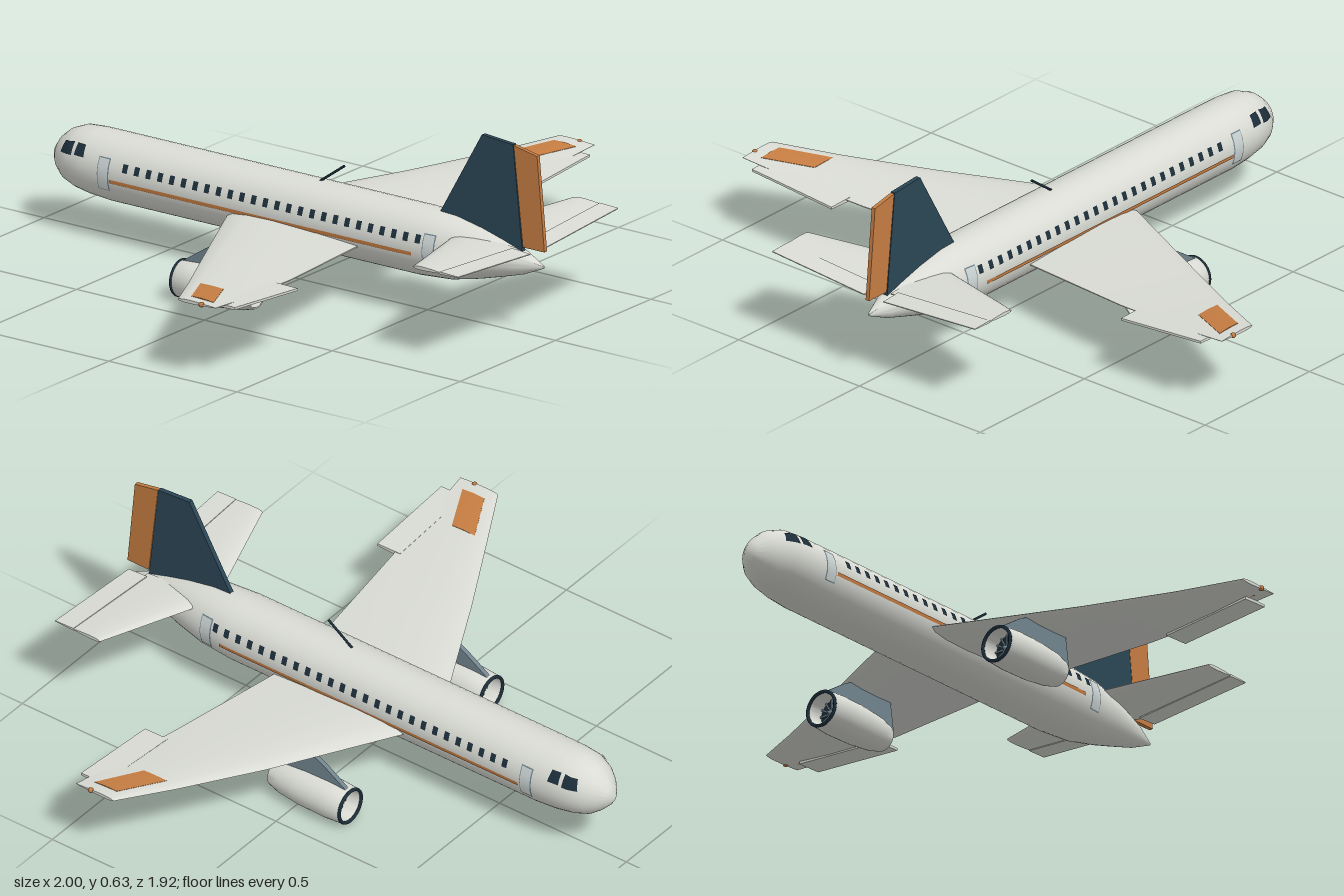
import * as THREE from 'three';
import { mergeVertices, toCreasedNormals } from 'three/addons/utils/BufferGeometryUtils.js';

const mat = (color) => new THREE.MeshStandardMaterial({ color });
const WHITE = mat(0xd9dbd4), NAVY = mat(0x2b4656), ORANGE = mat(0xc67d42), DARK = mat(0x1c2e3a);
const STEEL = mat(0x71858f), DOOR = mat(0xcbd3d3);
const V = (x, y, z) => new THREE.Vector3(x, y, z);

// Skin over closed rings of points, with end caps; winding is fixed by signed volume
function loft(rings, crease = 0.7) {
  const n = rings[0].length, pts = rings.flat(), idx = [];
  for (let i = 0; i < rings.length - 1; i++)
    for (let j = 0; j < n; j++) {
      const a = i * n + j, b = i * n + (j + 1) % n;
      idx.push(a, b, a + n, b, b + n, a + n);
    }
  const last = (rings.length - 1) * n;
  for (let j = 1; j < n - 1; j++) idx.push(0, j + 1, j, last, last + j, last + j + 1);
  let vol = 0;
  for (let i = 0; i < idx.length; i += 3)
    vol += pts[idx[i]].dot(V(0, 0, 0).crossVectors(pts[idx[i + 1]], pts[idx[i + 2]]));
  if (vol < 0) idx.reverse();
  const g = new THREE.BufferGeometry().setFromPoints(pts);
  g.setIndex(idx);
  return toCreasedNormals(mergeVertices(g), crease);
}

function add(parent, name, geo, material, x = 0, y = 0, z = 0) {
  const m = new THREE.Mesh(geo, material);
  m.name = name;
  m.position.set(x, y, z);
  parent.add(m);
  return m;
}

// Fuselage stations: z, half width, half height, centre y
const BODY = [
  [-0.957, 0.004, 0.004, 0.236], [-0.94, 0.03, 0.033, 0.237], [-0.915, 0.06, 0.062, 0.24],
  [-0.885, 0.083, 0.086, 0.241], [-0.84, 0.102, 0.102, 0.243], [-0.78, 0.11, 0.109, 0.24],
  [-0.7, 0.113, 0.112, 0.237], [0.5, 0.113, 0.112, 0.237], [0.62, 0.103, 0.105, 0.238],
  [0.72, 0.082, 0.084, 0.239], [0.8, 0.06, 0.062, 0.239], [0.88, 0.036, 0.038, 0.238],
  [0.955, 0.004, 0.004, 0.237],
];
function bodyAt(z) {
  let i = 0;
  while (i < BODY.length - 2 && BODY[i + 1][0] < z) i++;
  const a = BODY[i], b = BODY[i + 1], t = (z - a[0]) / (b[0] - a[0]);
  return a.map((v, k) => v + (b[k] - v) * t);
}

// Patch lying on the fuselage side; corners (z, y): a bottom, b bottom, c top, d top
function patch(s, a, b, c, d, nz = 2, lift = 0.0025) {
  const ny = 4, pos = [], idx = [], mix = THREE.MathUtils.lerp;
  for (let i = 0; i <= nz; i++)
    for (let j = 0; j <= ny; j++) {
      const u = i / nz, v = j / ny;
      const z = mix(mix(a[0], b[0], u), mix(d[0], c[0], u), v);
      const y = mix(mix(a[1], b[1], u), mix(d[1], c[1], u), v);
      const [, w, h, cy] = bodyAt(z), k = (y - cy) / h;
      pos.push(V(s * (w * Math.sqrt(Math.max(0, 1 - k * k)) + lift), y + lift * k, z));
      if (i < nz && j < ny) {
        const p = i * (ny + 1) + j, q = p + ny + 1;
        idx.push(...(s > 0 ? [p, p + 1, q, q, p + 1, q + 1] : [p, q, p + 1, q, q + 1, p + 1]));
      }
    }
  const g = new THREE.BufferGeometry().setFromPoints(pos);
  g.setIndex(idx);
  g.computeVertexNormals();
  return g;
}
const rectPatch = (s, z, y, w, h, nz, lift) => patch(s, [z - w / 2, y - h / 2], [z + w / 2, y - h / 2],
  [z + w / 2, y + h / 2], [z - w / 2, y + h / 2], nz, lift);

// Aerofoil outline: chord fraction, thickness fraction
const FOIL = [[0, 0], [0.04, 0.25], [0.15, 0.45], [0.35, 0.5], [0.65, 0.35], [1, 0.05],
  [1, -0.05], [0.65, -0.3], [0.35, -0.42], [0.15, -0.38], [0.04, -0.22]];
// Stations: x, leading z, trailing z, y, thickness
const aerofoil = (s, stations) => loft(stations.map(([x, z0, z1, y, t]) =>
  FOIL.map(([c, h]) => V(s * x, y + h * t, z0 + (z1 - z0) * c))));

// Thin upright plate from (z, y) corners
const plate = (corners, half, x = 0) =>
  loft([-half, half].map((dx) => corners.map(([z, y]) => V(x + dx, y, z))), 0.3);

function addEngine(parent, s) {
  const engine = new THREE.Group();
  engine.name = 'engine';
  engine.position.set(s * 0.365, 0.071, 0);
  parent.add(engine);
  const lathe = (pts) => new THREE.LatheGeometry(pts.map((p) => new THREE.Vector2(...p)), 28).rotateX(Math.PI / 2);
  const shell = WHITE.clone();
  shell.side = THREE.DoubleSide;
  add(engine, 'nacelle', toCreasedNormals(lathe([[0.05, -0.12], [0.051, -0.185], [0.057, -0.192], [0.062, -0.18],
    [0.066, -0.12], [0.064, -0.02], [0.056, 0.06], [0.044, 0.104], [0.039, 0.104], [0.042, 0.05]]), 0.7), shell);
  add(engine, 'intakeRing', new THREE.TorusGeometry(0.057, 0.0055, 10, 32), DARK, 0, 0, -0.19);
  const disc = new THREE.CylinderGeometry(0.05, 0.05, 0.006, 28).rotateX(Math.PI / 2);
  add(engine, 'fanDisc', disc, DARK, 0, 0, -0.13);
  for (let i = 0; i < 12; i++) {
    const a = i * Math.PI / 6;
    const blade = add(engine, 'fanBlade', new THREE.BoxGeometry(0.036, 0.006, 0.004), STEEL,
      0.03 * Math.cos(a), 0.03 * Math.sin(a), -0.14);
    blade.rotation.set(0, 0, a);
  }
  add(engine, 'spinner', new THREE.ConeGeometry(0.016, 0.035, 20).rotateX(-Math.PI / 2), STEEL, 0, 0, -0.15);
  add(engine, 'exhaustDisc', new THREE.CylinderGeometry(0.042, 0.042, 0.006, 28).rotateX(Math.PI / 2), DARK, 0, 0, 0.06);
  add(engine, 'exhaustCone', new THREE.ConeGeometry(0.02, 0.045, 20).rotateX(Math.PI / 2), STEEL, 0, 0, 0.084);
  add(parent, 'pylon', plate([[0.145, 0.107], [-0.185, 0.128], [-0.09, 0.19], [-0.06, 0.205], [0.13, 0.205]],
    0.008, s * 0.365), STEEL);
}

export function createModel() {
  const plane = new THREE.Group();
  plane.name = 'airliner';

  add(plane, 'fuselage', loft(BODY.map(([z, w, h, cy]) => Array.from({ length: 36 }, (_, i) => {
    const a = i * Math.PI / 18;
    return V(w * Math.cos(a), cy + h * Math.sin(a), z);
  })), 0.9), WHITE);

  // Tail fin and rudder
  add(plane, 'fin', plate([[0.55, 0.335], [0.718, 0.631], [0.84, 0.622], [0.878, 0.26], [0.7, 0.26]], 0.008), NAVY);
  add(plane, 'rudder', plate([[0.842, 0.62], [0.933, 0.602], [0.962, 0.29], [0.878, 0.29]], 0.007), ORANGE);

  // Antenna
  const rod = add(plane, 'antenna', new THREE.CylinderGeometry(0.004, 0.004, 0.115, 8), DARK, 0, 0.381, 0.128);
  rod.rotation.x = Math.atan2(0.09, 0.065);

  for (const s of [1, -1]) {
    const side = new THREE.Group();
    side.name = s > 0 ? 'leftSide' : 'rightSide';
    plane.add(side);

    add(side, 'wing', aerofoil(s, [[0.05, -0.23, 0.3, 0.202, 0.045], [0.115, -0.2, 0.307, 0.204, 0.042],
      [0.53, 0.014, 0.362, 0.22, 0.028], [0.8, 0.16, 0.392, 0.24, 0.02], [0.993, 0.264, 0.412, 0.262, 0.012]]), WHITE);
    // Trailing flap
    add(side, 'flap', loft([[0.6, 0.225], [0.93, 0.251]].map(([x, y]) =>
      [[0.35, 0.004], [0.44, 0.002], [0.44, -0.006], [0.35, -0.009]].map(([z, dy]) => V(s * x, y + dy, z))), 0.3), WHITE);
    // Coloured panel on the wing top
    add(side, 'wingPanel', loft([[0.795, 0.205, 0.295, 0.2495, 0.2485], [0.95, 0.285, 0.372, 0.2648, 0.2615]].map(
      ([x, z0, z1, y0, y1]) => [V(s * x, y0, z0), V(s * x, y0 + 0.001, (z0 + z1) / 2), V(s * x, y1, z1),
        V(s * x, y1 - 0.008, z1), V(s * x, y0 - 0.008, z0)]), 0.3), ORANGE);
    add(side, 'tipLight', new THREE.SphereGeometry(0.009, 12, 8), ORANGE, s * 0.991, 0.262, 0.355);

    add(side, 'tailplane', aerofoil(s, [[0.02, 0.63, 0.872, 0.286, 0.026], [0.08, 0.645, 0.872, 0.29, 0.026],
      [0.42, 0.755, 0.872, 0.314, 0.013]]), WHITE);
    add(side, 'elevator', loft([[0.04, 0.287, 0.006], [0.42, 0.314, 0.004]].map(([x, y, h]) =>
      [V(s * x, y + h, 0.86), V(s * x, y + 0.001, 0.932), V(s * x, y - 0.002, 0.932), V(s * x, y - h, 0.86)]), 0.3), WHITE);

    addEngine(side, s);

    // Cabin windows, stripe, doors and cockpit glass
    for (let i = 0; i < 26; i++)
      add(side, 'cabinWindow', rectPatch(s, 0.54 - i * 0.0457, 0.275, 0.019, 0.026), DARK);
    add(side, 'stripe', rectPatch(s, -0.07, 0.225, 1.18, 0.012, 24, 0.003), ORANGE);
    for (const z of [-0.687, 0.58]) {
      add(side, 'doorFrame', rectPatch(s, z, 0.243, 0.045, 0.104, 4, 0.0015), STEEL);
      add(side, 'door', rectPatch(s, z, 0.243, 0.038, 0.097, 4, 0.003), DOOR);
    }
    add(side, 'cockpitSideWindow', patch(s, [-0.808, 0.279], [-0.768, 0.279], [-0.773, 0.314], [-0.806, 0.314], 4), DARK);
    add(side, 'cockpitFrontWindow', patch(s, [-0.872, 0.273], [-0.82, 0.276], [-0.82, 0.314], [-0.862, 0.308], 6), DARK);
  }
  return plane;
}
